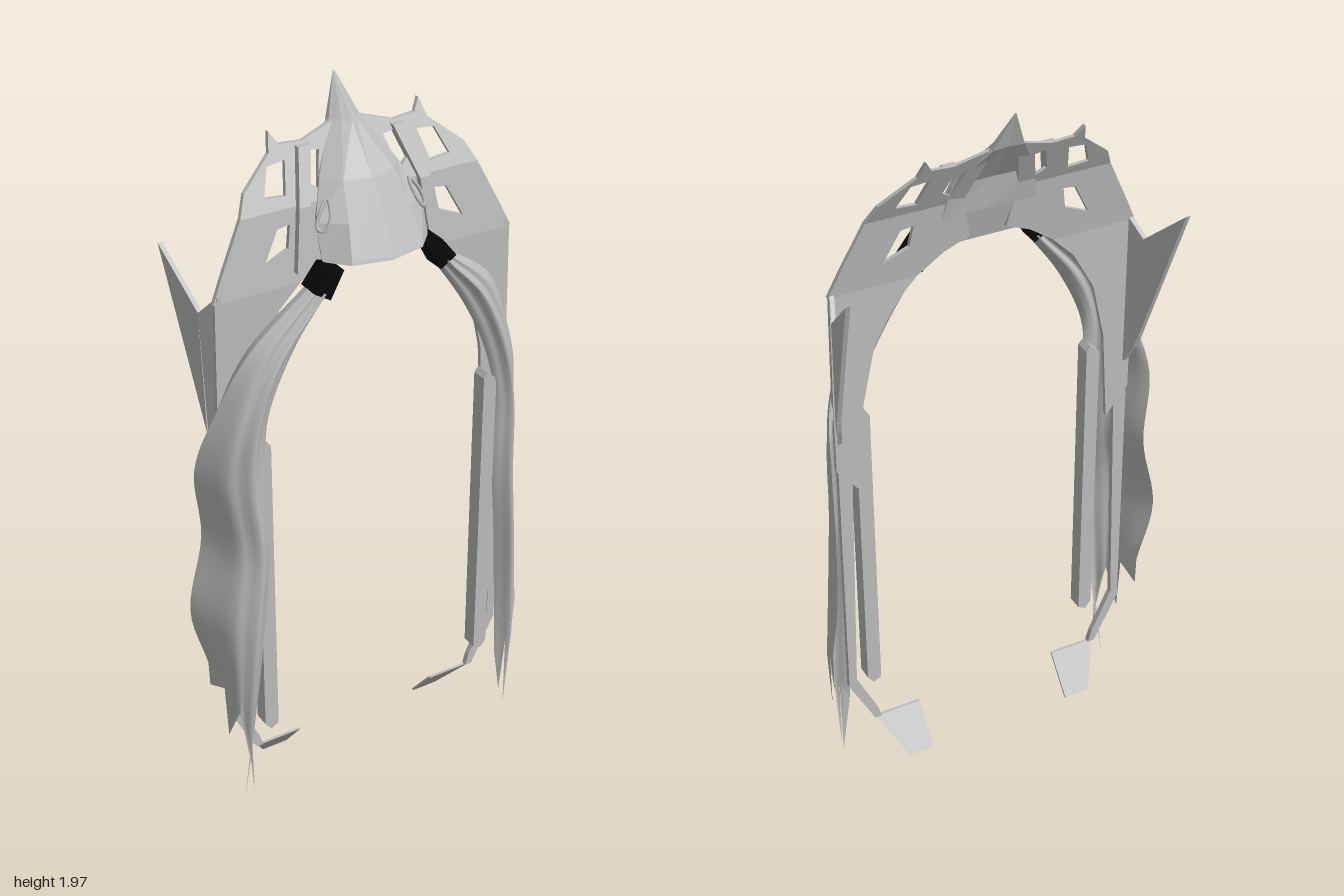
import * as THREE from 'three';

const grey = new THREE.MeshStandardMaterial({ color: 0xbcbcbc, side: THREE.DoubleSide });
grey.name = 'grey';
const black = new THREE.MeshStandardMaterial({ color: 0x080808, side: THREE.DoubleSide });
black.name = 'black';

const lerp = THREE.MathUtils.lerp;

function addMesh(parent, name, geometry, material = grey) {
  const mesh = new THREE.Mesh(geometry, material);
  mesh.name = name;
  parent.add(mesh);
}

// Flat outline with thickness, each vertex then placed by a rule
function plate(points, depth, place, holes = []) {
  const toVec = (list) => list.map(([x, y]) => new THREE.Vector2(x, y));
  const shape = new THREE.Shape(toVec(points));
  for (const h of holes) shape.holes.push(new THREE.Path(toVec(h)));
  const g = new THREE.ExtrudeGeometry(shape, { depth, bevelEnabled: false });
  const p = g.attributes.position;
  for (let i = 0; i < p.count; i++) p.setXYZ(i, ...place(p.getX(i), p.getY(i), p.getZ(i)));
  g.computeVertexNormals();
  return g;
}

function surface(positions, index, flat) {
  let g = new THREE.BufferGeometry();
  g.setAttribute('position', new THREE.Float32BufferAttribute(positions, 3));
  g.setIndex(index);
  if (flat) g = g.toNonIndexed();
  g.computeVertexNormals();
  return g;
}

// Faceted crest: half sections from the tip down, mirrored into loops
function crest() {
  const levels = [
    [2.0, [0, -.115], [.001, -.115], [.002, -.116], [.001, -.117], [0, -.117]],
    [1.9, [0, -.03], [.02, -.045], [.042, -.07], [.042, -.085], [0, -.08]],
    [1.79, [0, .062], [.07, .045], [.11, .0], [.11, -.01], [0, -.005]],
    [1.7, [0, .12], [.085, .095], [.15, .05], [.13, .01], [0, .01]],
    [1.61, [0, .158], [.1, .135], [.15, .08], [.13, .035], [0, .035]],
  ];
  const pos = [], idx = [], n = 8;
  for (const [y, ...half] of levels) {
    const loop = [...half, ...half.slice(1, 4).reverse().map(([x, z]) => [-x, z])];
    loop.forEach(([x, z]) => pos.push(x, y, z));
  }
  for (let r = 0; r < levels.length - 1; r++) {
    for (let i = 0; i < n; i++) {
      const a = r * n + i, b = r * n + (i + 1) % n;
      idx.push(a, a + n, b, b, a + n, b + n);
    }
  }
  const last = (levels.length - 1) * n;
  for (let i = 1; i < n - 1; i++) idx.push(last, last + i + 1, last + i);
  return surface(pos, idx, true);
}

// Draped cloth: rows of [inner x,y,z, outer x,y,z, middle z, thickness], then torn tips
function cloth(rows, tips) {
  const curve = (f) => new THREE.CatmullRomCurve3(rows.map(f), false, 'catmullrom', 0.5);
  const inner = curve((r) => new THREE.Vector3(r[0], r[1], r[2]));
  const outer = curve((r) => new THREE.Vector3(r[3], r[4], r[5]));
  const bulge = curve((r) => new THREE.Vector3(r[6], r[7], 0));
  const R = 36, C = 15, pos = [], idx = [];
  for (let side = 0; side < 2; side++) {
    const base = pos.length / 3;
    for (let r = 0; r <= R; r++) {
      const t = r / R, a = inner.getPoint(t), b = outer.getPoint(t), m = bulge.getPoint(t);
      for (let c = 0; c <= C; c++) {
        const u = c / C, s = Math.max(0, Math.sin(Math.PI * u));
        const z = lerp(a.z, b.z, u) + (m.x - (a.z + b.z) / 2) * s
          + .009 * Math.sin(u * 17 + t * 3) * s - side * m.y * Math.sqrt(s);
        pos.push(lerp(a.x, b.x, u), lerp(a.y, b.y, u), z);
      }
    }
    for (let r = 0; r < R; r++) for (let c = 0; c < C; c++) {
      const i = base + r * (C + 1) + c, j = i + C + 1;
      if (side) idx.push(i, i + 1, j, i + 1, j + 1, j);
      else idx.push(i, j, i + 1, i + 1, j, j + 1);
    }
  }
  // Torn tips hang from the last front row
  const row = R * (C + 1), w = C / tips.length;
  tips.forEach((tip, k) => {
    const apex = pos.length / 3;
    pos.push(...tip);
    for (let c = 0; c < w; c++) idx.push(row + k * w + c, apex, row + k * w + c + 1);
  });
  return surface(pos, idx, false);
}

function buildSide() {
  const side = new THREE.Group();

  // Shoulder panel with windows, creased at y 1.74 and leaning back above it
  const slope = (x, y, z) => [x, y, (y > 1.74 ? .005 - (y - 1.74) * .5 : .03 - (y - 1.55) * .13) + z];
  addMesh(side, 'upperShoulder', plate(
    [[.03, 1.9], [.13, 1.87], [.19, 1.875], [.21, 1.905], [.223, 1.86], [.31, 1.79], [.335, 1.74], [.075, 1.74]],
    .012, slope, [
      [[.185, 1.84], [.235, 1.835], [.262, 1.77], [.205, 1.765]],
      [[.09, 1.845], [.125, 1.85], [.145, 1.785], [.115, 1.765]],
    ]));
  addMesh(side, 'lowerShoulder', plate(
    [[.075, 1.74], [.335, 1.74], [.4, 1.61], [.428, 1.55], [.19, 1.55], [.12, 1.6], [.05, 1.63]],
    .012, slope, [[[.205, 1.7], [.24, 1.695], [.285, 1.61], [.215, 1.64]]]));
  addMesh(side, 'upperRib', plate([[.115, 1.865], [.15, 1.865], [.185, 1.74], [.155, 1.74]], .03, slope));
  addMesh(side, 'lowerRib', plate([[.155, 1.74], [.185, 1.74], [.205, 1.58], [.175, 1.58]], .03, slope));

  // Side panel, rail and inward foot
  const flat = (x, y, z) => [x, y, .03 + z];
  addMesh(side, 'sidePanel', plate(
    [[.19, 1.55], [.424, 1.55], [.43, 1.2], [.43, 1.04], [.365, .96], [.348, 1.22], [.312, 1.38], [.25, 1.49]],
    .012, flat));
  addMesh(side, 'rail', plate(
    [[.385, 1.1], [.425, 1.1], [.428, .31], [.355, .165], [.335, .165], [.345, .2], [.405, .33]], .016, flat));
  addMesh(side, 'foot', plate(
    [[.35, .165], [.215, .165], [.215, .06], [.29, .06]], .008,
    (x, y, z) => [x, y, .035 - (.165 - y) * .82 + z]));

  // Bent flange and swept fin
  addMesh(side, 'flange', plate(
    [[.042, 1.57], [-.015, 1.51], [-.015, 1.22], [0, 1.18], [.042, 1.1]], .012,
    (z, y, d) => [.429 - .4 * z + d - .006, y, z]));
  addMesh(side, 'fin', plate(
    [[-.015, 1.51], [-.165, 1.64], [0, 1.18], [-.005, 1.3]], .012,
    (z, y, d) => [.4325 - .165 * z + d - .006, y, z]));

  // Chamfered inner bar
  addMesh(side, 'innerBar', plate(
    [[.318, 1.16], [.33, 1.175], [.358, 1.15], [.358, .29], [.34, .268], [.318, .28]], .045,
    (x, y, z) => [x, y, .062 + z]));

  // Clasp at the top of the cloth
  addMesh(side, 'clasp', plate(
    [[.12, 1.603], [.16, 1.614], [.203, 1.56], [.158, 1.532]], .064, (x, y, z) => [x, y, .067 + z]), black);

  // Cheek rim
  const rim = [[.115, 1.755, .045], [.137, 1.73, .05], [.152, 1.69, .06], [.14, 1.685, .075], [.12, 1.715, .07]];
  addMesh(side, 'cheekRim', new THREE.TubeGeometry(
    new THREE.CatmullRomCurve3(rim.map((p) => new THREE.Vector3(...p)), true), 20, .005, 5, true));
  return side;
}

export function createModel() {
  const model = new THREE.Group();
  model.name = 'model';
  addMesh(model, 'crest', crest());

  // Brow plate on the crest front
  const brow = [-.07, 1.79, .055, 0, 1.79, .072, .07, 1.79, .055,
    -.1, 1.625, .136, 0, 1.62, .162, .1, 1.625, .136];
  addMesh(model, 'browPlate', surface(brow, [0, 3, 1, 1, 3, 4, 1, 4, 2, 2, 4, 5], true));

  const left = buildSide();
  left.name = 'leftFrame';
  const right = buildSide();
  right.name = 'rightFrame';
  right.scale.x = -1;
  model.add(left, right);

  // Hanging cloths
  addMesh(left, 'leftCloth', cloth([
    [.158, 1.54, .1, .198, 1.565, .1, .128, .058],
    [.25, 1.4, .1, .34, 1.45, .085, .13, .07],
    [.32, 1.25, .1, .43, 1.25, .045, .127, .05],
    [.36, 1.08, .1, .46, 1.08, -.01, .118, .02],
    [.36, .87, .1, .465, .87, -.025, .127, .012],
    [.375, .65, .1, .475, .65, -.03, .13, .01],
    [.405, .21, .09, .495, .5, -.03, .112, .004],
  ], [[.44, .05, .07], [.428, .03, .11], [.43, .18, .12], [.485, .28, .02], [.495, .38, -.025]]));
  addMesh(right, 'rightCloth', cloth([
    [.15, 1.545, .1, .198, 1.565, .1, .128, .058],
    [.25, 1.4, .1, .36, 1.42, .085, .133, .07],
    [.32, 1.24, .1, .44, 1.25, .045, .135, .05],
    [.33, 1.08, .1, .48, 1.08, .0, .13, .02],
    [.325, .87, .1, .462, .87, -.015, .14, .012],
    [.34, .65, .1, .502, .65, -.02, .145, .01],
    [.392, .21, .09, .46, .46, -.015, .115, .004],
  ], [[.42, .04, .09], [.405, .08, .12], [.415, .18, .13], [.44, .25, .05], [.455, .38, -.02]]));
  return model;
}
